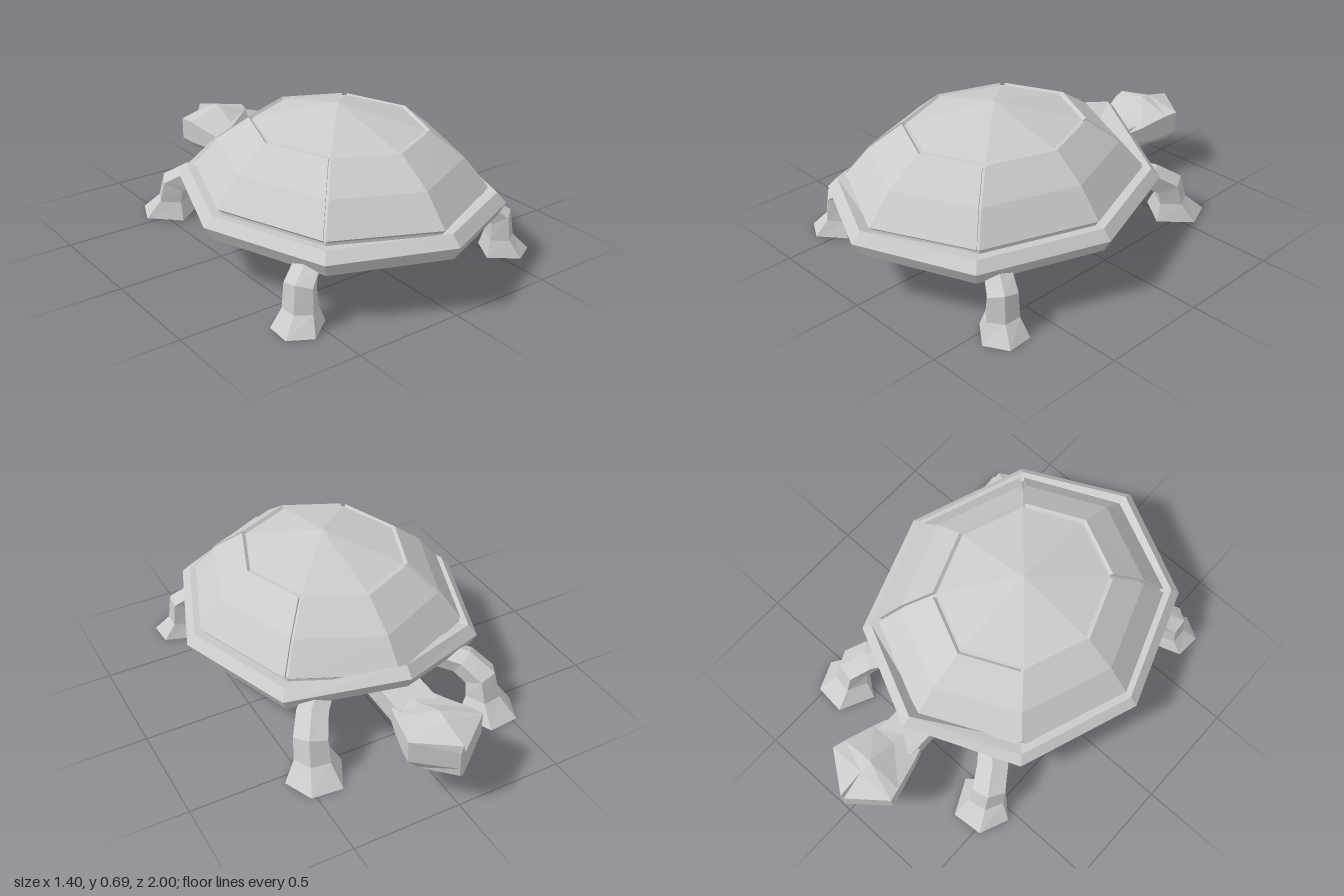
import * as THREE from 'three';

const material = new THREE.MeshStandardMaterial({ color: 0xcccccc, flatShading: true });
const V = (x, y, z) => new THREE.Vector3(x, y, z);
const CENTRE_Z = 0.2; // shell centre, the head points to -z

// Closed faceted solid through rings of equal point count, capped at both ends.
function loft(rings) {
  const tris = [];
  const n = rings[0].length;
  for (let i = 0; i < rings.length - 1; i++) {
    for (let j = 0; j < n; j++) {
      const k = (j + 1) % n;
      const a = rings[i][j], b = rings[i][k], c = rings[i + 1][k], d = rings[i + 1][j];
      tris.push([a, b, c], [a, c, d]);
    }
  }
  const cap = (ring, flip) => {
    const mid = ring.reduce((s, p) => s.add(p), V(0, 0, 0)).divideScalar(n);
    ring.forEach((p, j) => {
      const q = ring[(j + 1) % n];
      tris.push(flip ? [mid, q, p] : [mid, p, q]);
    });
  };
  cap(rings[0], true);
  cap(rings[rings.length - 1], false);
  // A negative volume means the faces point inward
  const volume = tris.reduce((s, [a, b, c]) => s + a.dot(b.clone().cross(c)), 0);
  if (volume < 0) tris.forEach((t) => t.reverse());
  const geometry = new THREE.BufferGeometry().setFromPoints(tris.flat());
  geometry.computeVertexNormals();
  return geometry;
}

// Point on a shell ellipse; angle 0 is +z, PI is the head end.
const shellPoint = (angle, rx, y, rz) => V(Math.sin(angle) * rx, y, CENTRE_Z + Math.cos(angle) * rz);

// Eight-cornered shell ring, lifted at the neck and slightly at the tail.
function shellRing(rx, rz, y, lift = 0) {
  return Array.from({ length: 8 }, (_, i) => {
    const rise = i === 4 ? 0.105 * lift : i === 0 ? 0.025 * lift : 0;
    return shellPoint((i * Math.PI) / 4, rx, y + rise, rz);
  });
}

// One side plate: three columns around the shell, three rows up it.
function plateGeometry(middle) {
  const rows = [[0.63, 0.71, 0.35], [0.525, 0.595, 0.48], [0.385, 0.432, 0.592]];
  const profile = [
    ...rows,
    ...rows.map(([rx, rz, y]) => [rx - 0.03, rz - 0.03, y - 0.025]).reverse(),
  ];
  const inward = [-1, 0, 1].map((side) => profile.map(([rx, rz, y]) => {
    const at = shellPoint(middle + (side * Math.PI) / 4, rx, y, rz);
    const next = shellPoint(middle, rx, y, rz);
    // Pull end columns back to leave a groove
    return side ? at.add(next.sub(at).setLength(0.011)) : at;
  }));
  return loft(inward);
}

// Leg through sections [x, y, z, half width, half depth, tilt]; tilt 0 is level, 90 upright.
function legGeometry(sections, heading) {
  const out = V(Math.sin(heading), 0, Math.cos(heading));
  const side = V(out.z, 0, -out.x);
  return loft(sections.map(([x, y, z, w, d, tilt]) => {
    const t = THREE.MathUtils.degToRad(tilt);
    const depth = out.clone().multiplyScalar(Math.cos(t)).add(V(0, Math.sin(t), 0));
    return [[-0.75, -1], [0.75, -1], [1, 0.4], [0, 1], [-1, 0.4]].map(([a, b]) =>
      V(x, y, z).addScaledVector(side, a * w).addScaledVector(depth, b * d));
  }));
}

export function createModel() {
  const model = new THREE.Group();
  model.name = 'turtle';
  const add = (name, geometry, parent = model) => {
    const mesh = new THREE.Mesh(geometry, material);
    mesh.name = name;
    parent.add(mesh);
    return mesh;
  };

  // Shell: rim with flat belly, recessed core, four plates and a top plate
  const shell = new THREE.Group();
  shell.name = 'shell';
  model.add(shell);
  add('shellRim', loft([
    shellRing(0.45, 0.5, 0.225),
    shellRing(0.665, 0.77, 0.225, 1),
    shellRing(0.7, 0.8, 0.285, 1),
    shellRing(0.66, 0.755, 0.33, 1),
    shellRing(0.6, 0.68, 0.322),
  ]), shell);
  add('shellCore', loft([
    shellRing(0.612, 0.692, 0.31),
    shellRing(0.612, 0.692, 0.342),
    shellRing(0.51, 0.58, 0.468),
    shellRing(0.37, 0.415, 0.58),
  ]), shell);
  ['rearPlate', 'leftPlate', 'frontPlate', 'rightPlate'].forEach((name, i) =>
    add(name, plateGeometry((i * Math.PI) / 2), shell));
  add('topPlate', new THREE.ConeGeometry(1, 0.1, 8)
    .scale(0.365, 1, 0.405).translate(0, 0.64, CENTRE_Z), shell);

  // Neck bar running under the belly to the head
  add('neck', new THREE.BoxGeometry(0.19, 0.1, 0.75).translate(0, 0.245, -0.285));

  // Head sections: z, bottom half width, bottom, half width, low side, high side, top
  const headSections = [
    [-0.61, 0.09, 0.2, 0.105, 0.215, 0.28, 0.295],
    [-0.67, 0.1, 0.18, 0.125, 0.21, 0.29, 0.31],
    [-0.81, 0.125, 0.175, 0.165, 0.215, 0.325, 0.38],
    [-0.87, 0.13, 0.17, 0.18, 0.225, 0.33, 0.368],
    [-1, 0.008, 0.175, 0.01, 0.215, 0.3, 0.335],
  ];
  add('head', loft(headSections.map(([z, wb, yb, w, lo, hi, top]) => [
    V(-wb, yb, z), V(wb, yb, z), V(w, lo, z), V(w, hi, z), V(0, top, z), V(-w, hi, z), V(-w, lo, z),
  ])));

  // Legs, mirrored left and right
  const frontLeg = [
    [0.27, 0.25, -0.3, 0.06, 0.05, 90],
    [0.385, 0.235, -0.43, 0.07, 0.055, 60],
    [0.435, 0.18, -0.51, 0.075, 0.065, 25],
    [0.44, 0.09, -0.535, 0.08, 0.07, 0],
    [0.45, 0.005, -0.575, 0.125, 0.125, 0],
  ];
  const rearLeg = [
    [0.36, 0.225, 0.55, 0.045, 0.025, 90],
    [0.5, 0.225, 0.65, 0.06, 0.035, 65],
    [0.55, 0.18, 0.68, 0.065, 0.055, 25],
    [0.555, 0.08, 0.685, 0.07, 0.06, 0],
    [0.58, 0.005, 0.7, 0.1, 0.105, 0],
  ];
  const mirrored = (sections) => sections.map(([x, ...rest]) => [-x, ...rest]);
  const frontHeading = Math.PI * 0.8, rearHeading = Math.PI * 0.34;
  add('frontLeftLeg', legGeometry(frontLeg, frontHeading));
  add('frontRightLeg', legGeometry(mirrored(frontLeg), -frontHeading));
  add('rearLeftLeg', legGeometry(rearLeg, rearHeading));
  add('rearRightLeg', legGeometry(mirrored(rearLeg), -rearHeading));

  return model;
}
